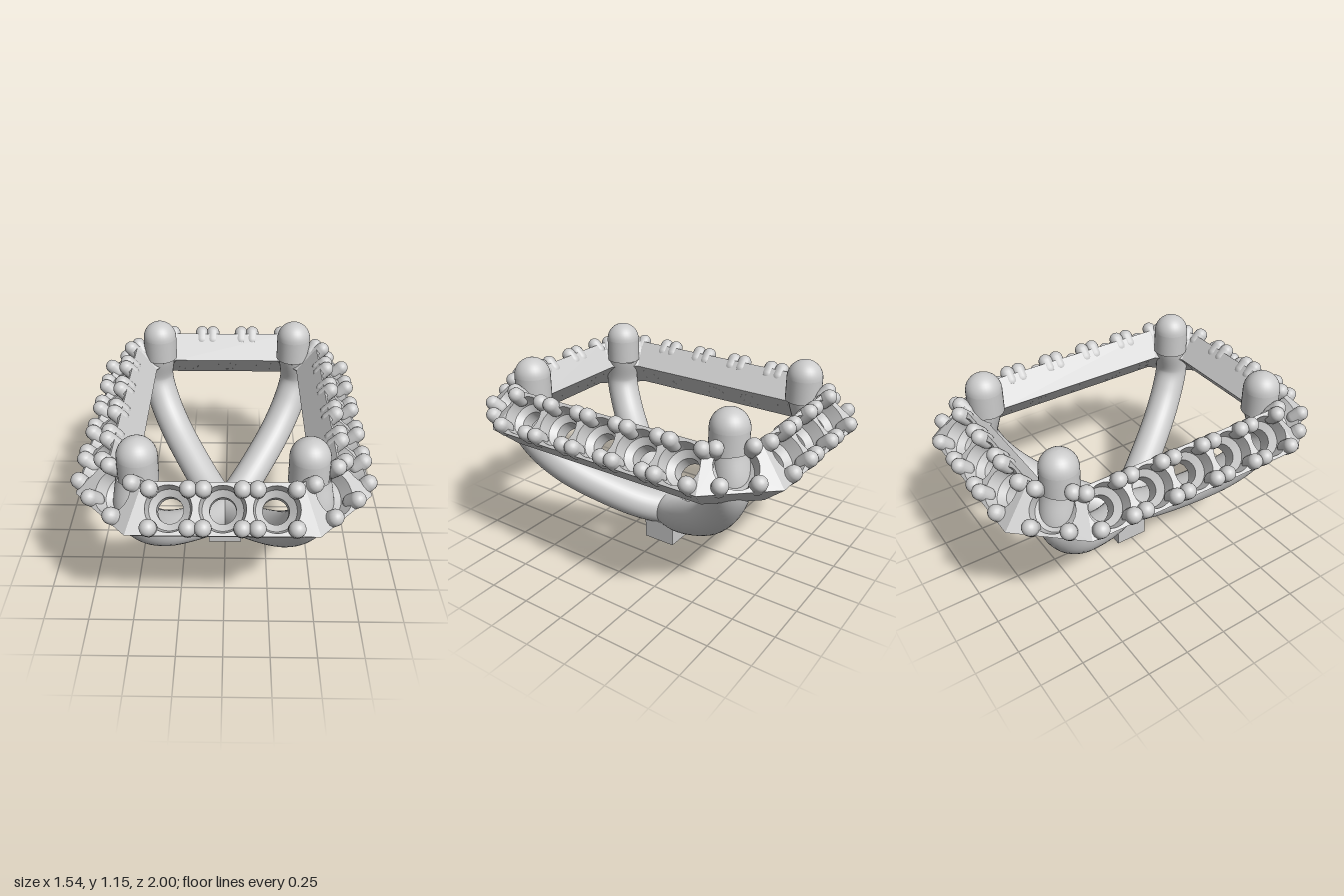
import * as THREE from 'three';

const grey = new THREE.MeshStandardMaterial({ color: 0xcccccc });
const greyDouble = new THREE.MeshStandardMaterial({ color: 0xcccccc, side: THREE.DoubleSide });
const UP = new THREE.Vector3(0, 1, 0);

function add(parent, name, geometry, material = grey) {
  const mesh = new THREE.Mesh(geometry, material);
  mesh.name = name;
  parent.add(mesh);
  return mesh;
}

// Tilted rectangular section of the halo: [inset from the outer edge, height]
const SECTION = [[0, 0.82], [0.18, 1.0], [0.30, 0.87], [0.13, 0.70]];
const RIM = 0.112, BORE = 0.065, DEPTH = 0.177;

// Eight sides of the elongated octagon, in order around the ring
const cx = 0.742, cz = 0.67, cd = 0.991;
const SIDES = [
  [0, 1, 0.97, 3], [cx, cz, cd, 1], [1, 0, 0.74, 5], [cx, -cz, cd, 1],
  [0, -1, 0.97, 3], [-cx, -cz, cd, 1], [-1, 0, 0.74, 5], [-cx, cz, cd, 1],
].map(([x, z, d, seats]) => {
  const n = new THREE.Vector3(x, 0, z).normalize();
  return { n, t: new THREE.Vector3().crossVectors(UP, n), d, seats };
});

// Mitre point between side i and the next one at a given inset
function mitre(i, inset) {
  const a = SIDES[(i + 8) % 8], b = SIDES[(i + 9) % 8];
  const da = a.d - inset, db = b.d - inset;
  const det = a.n.x * b.n.z - a.n.z * b.n.x;
  return new THREE.Vector3((da * b.n.z - db * a.n.z) / det, 0, (a.n.x * db - b.n.x * da) / det);
}

function buildSide(i) {
  const { n, t, d, seats } = SIDES[i];
  const side = new THREE.Group();
  side.name = 'haloSide';
  const range = (inset) => [mitre(i - 1, inset).dot(t), mitre(i, inset).dot(t)];
  const [o0, o1] = range(0.09);
  const centres = Array.from({ length: seats }, (_, k) => (o0 + o1) / 2 + (k - (seats - 1) / 2) * 0.255);

  SECTION.forEach(([insetA, yA], k) => {
    const [insetB, yB] = SECTION[(k + 1) % 4];
    const v = n.clone().multiplyScalar(insetA - insetB).addScaledVector(UP, yB - yA);
    const len = v.length();
    v.normalize();
    const normal = new THREE.Vector3().crossVectors(t, v);
    const origin = n.clone().multiplyScalar(d - insetA).addScaledVector(UP, yA);
    const frame = new THREE.Matrix4().makeBasis(t, v, normal).setPosition(origin);

    // Flat face, pierced where the stone seats pass through
    const [a0, a1] = range(insetA), [b0, b1] = range(insetB);
    const shape = new THREE.Shape([[a0, 0], [a1, 0], [b1, len], [b0, len]].map((p) => new THREE.Vector2(...p)));
    if (k % 2 === 0) {
      for (const s of centres) {
        shape.holes.push(new THREE.Path().absarc(s, len / 2, k === 0 ? RIM : BORE, 0, Math.PI * 2, true));
      }
    }
    add(side, 'haloFace', new THREE.ShapeGeometry(shape, 16).applyMatrix4(frame));
    if (k !== 0) return;

    for (const s of centres) {
      // Stone seat: wide cup, ledge and through bore
      const wall = [[BORE, -DEPTH], [BORE, -0.10], [0.10, -0.07], [RIM, 0]];
      for (let w = 0; w < 3; w++) {
        const pts = [wall[w], wall[w + 1]].map((p) => new THREE.Vector2(...p));
        const seat = new THREE.LatheGeometry(pts, 32).rotateX(Math.PI / 2).translate(s, len / 2, 0);
        add(side, 'stoneSeat', seat.applyMatrix4(frame), greyDouble);
      }
      // Four round-headed beads gripping each stone
      for (const u of [-1, 1]) for (const w of [-1, 1]) {
        const bead = new THREE.CapsuleGeometry(0.042, 0.05, 6, 16).rotateX(Math.PI / 2);
        bead.translate(s + u * 0.092, len / 2 + w * 0.092, -0.005);
        add(side, 'bead', bead.applyMatrix4(frame));
      }
    }
  });
  return side;
}

export function createModel() {
  const model = new THREE.Group();
  model.name = 'gemSetting';

  const halo = new THREE.Group();
  halo.name = 'halo';
  SIDES.forEach((_, i) => halo.add(buildSide(i)));
  model.add(halo);

  // Curved arms rising from the base to the corners, as [radius, height]
  const arm = [[0, 0.185], [0.16, 0.225], [0.35, 0.31], [0.60, 0.46], [0.75, 0.61], [0.82, 0.75], [0.785, 0.92]];
  // Domed prong profile
  const dome = Array.from({ length: 11 }, (_, k) => {
    const a = (k / 10) * Math.PI / 2;
    return new THREE.Vector2(0.102 * Math.cos(a), 1.045 + 0.102 * Math.sin(a));
  });
  dome[10].x = 0;
  const prongWall = [new THREE.Vector2(0, 0.91), new THREE.Vector2(0.102, 0.91)];

  for (const sx of [-1, 1]) for (const sz of [-1, 1]) {
    const path = new THREE.CatmullRomCurve3(
      arm.map(([r, y]) => new THREE.Vector3(sx * r * 0.55, y, sz * r * 0.835)));
    add(model, 'arm', new THREE.TubeGeometry(path, 48, 0.1, 32, false), greyDouble);

    const prong = new THREE.Group();
    prong.name = 'prong';
    prong.position.set(sx * 0.42, 0, sz * 0.645);
    add(prong, 'prongEnd', new THREE.LatheGeometry(prongWall, 32), greyDouble);
    add(prong, 'prongShaft', new THREE.CylinderGeometry(0.102, 0.102, 0.135, 32, 1, true).translate(0, 0.9775, 0));
    add(prong, 'prongDome', new THREE.LatheGeometry(dome, 32), greyDouble);
    model.add(prong);
  }

  // Square block under the crossing of the arms
  add(model, 'baseBlock', new THREE.BoxGeometry(0.2, 0.13, 0.2)).position.y = 0.065;
  return model;
}
